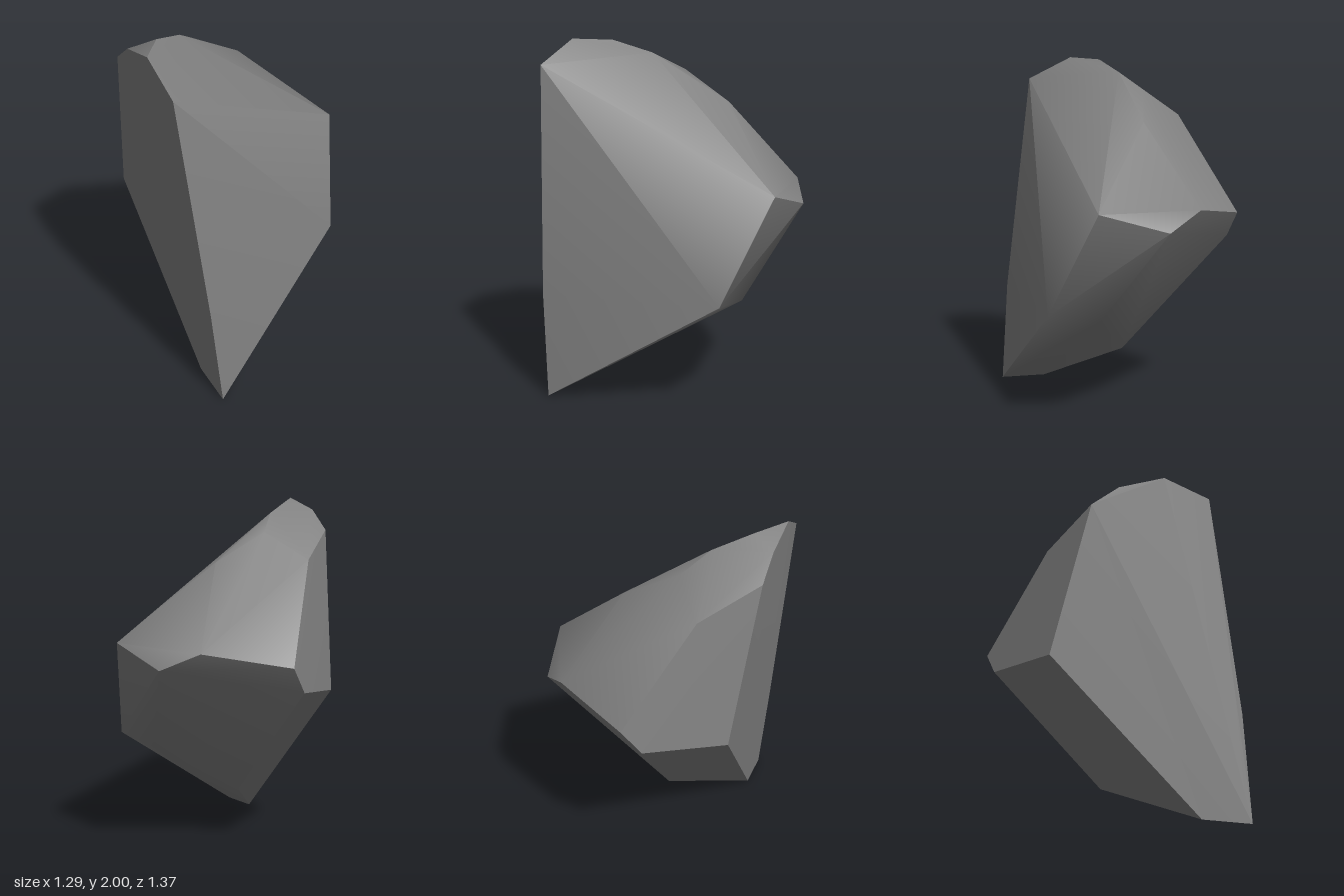
import * as THREE from 'three';
import { toCreasedNormals } from 'three/addons/utils/BufferGeometryUtils.js';
import { ConvexGeometry } from 'three/addons/geometries/ConvexGeometry.js';

export function createModel() {
  const stone = new THREE.MeshStandardMaterial({ color: 0x808080 });
  stone.name = 'stoneGrey';

  // Corners of the boulder, grouped by facet
  const corners = [
    // flat front facet
    [0.645, 0, 0.55], [0.39, 0.02, 0.485], [-0.41, 0.91, 0.365], [-0.22, 1.82, 0.51],
    [-0.07, 1.935, 0.558], [0.18, 2, 0.633], [0.43, 1.87, 0.685], [0.6, 0.59, 0.598],
    // left edge
    [-0.62, 0.98, -0.09], [-0.645, 1.13, -0.2], [-0.39, 1.67, 0.18],
    // top ridge
    [-0.08, 1.66, -0.24], [-0.15, 1.82, 0.07], [-0.04, 1.92, 0.23], [0.035, 1.99, 0.45],
    // back
    [-0.32, 1.21, -0.57], [-0.12, 1.11, -0.688], [0.26, 1.22, -0.673],
    // underside
    [-0.01, 0.305, 0], [0.21, 0.6, -0.465], [0.5, 0.64, -0.465],
  ].map((p) => new THREE.Vector3(...p));

  // Sharp facets with softened shading across the shallow edges
  const geometry = toCreasedNormals(new ConvexGeometry(corners), 0.75);
  const boulder = new THREE.Mesh(geometry, stone);
  boulder.name = 'boulder';

  const group = new THREE.Group();
  group.name = 'rock';
  group.add(boulder);
  return group;
}
